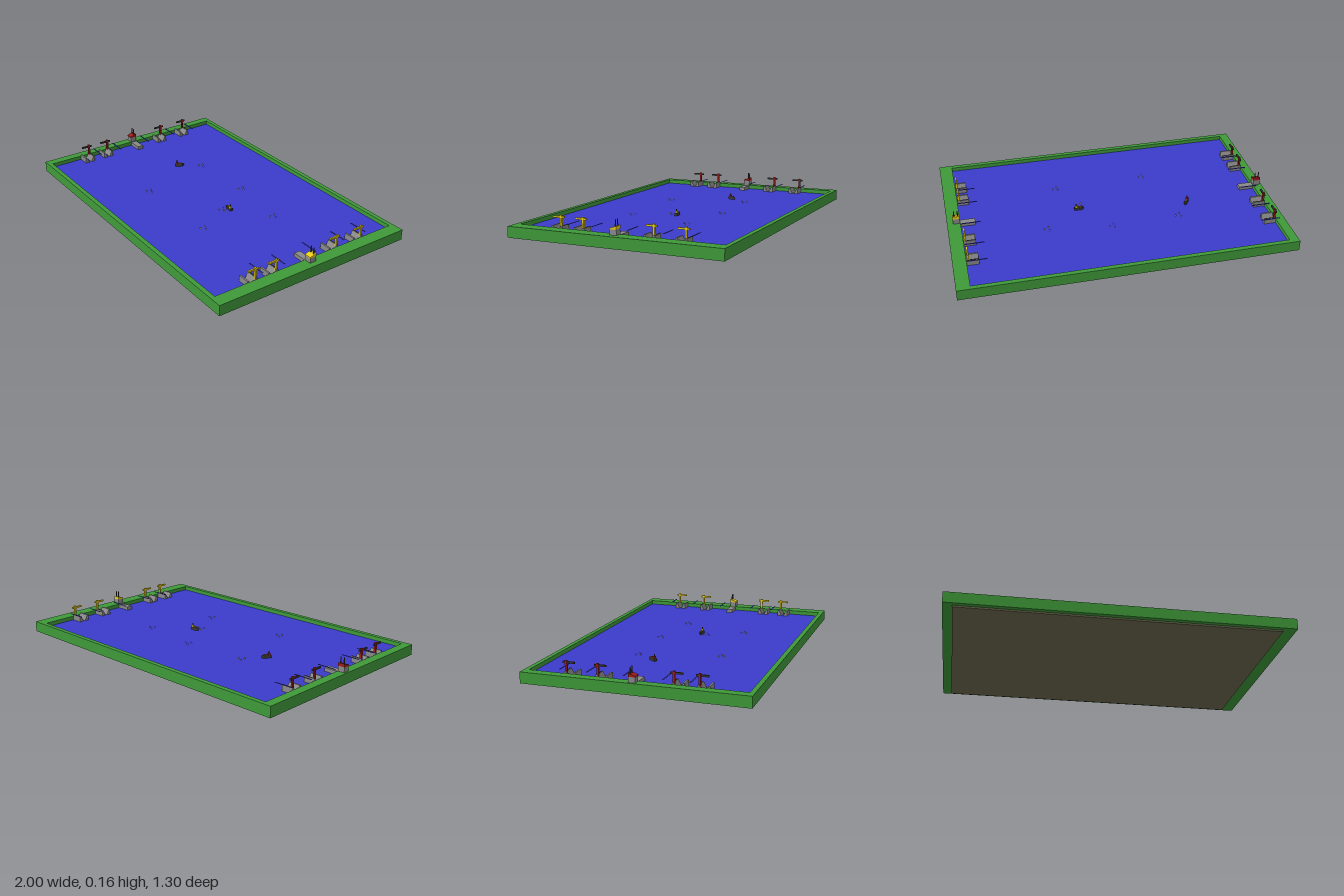
import * as THREE from 'three';

const mat = (color) => new THREE.MeshStandardMaterial({ color, flatShading: true, side: THREE.DoubleSide });
const M = {
  green: mat(0x3f9a3a), blue: mat(0x3c3ccc), brown: mat(0x6b6a50), grey: mat(0x8a8a8a),
  yellow: mat(0xe6cc1a), red: mat(0xa01c1c), dark: mat(0x3a3a36), white: mat(0xd8d8e0), wood: mat(0x7a5a30),
};

function add(parent, name, geometry, material, x = 0, y = 0, z = 0) {
  const mesh = new THREE.Mesh(geometry, material);
  mesh.name = name;
  mesh.position.set(x, y, z);
  parent.add(mesh);
  return mesh;
}

// box given by its minimum and maximum corners
function block(parent, name, material, [x0, y0, z0], [x1, y1, z1]) {
  return add(parent, name, new THREE.BoxGeometry(x1 - x0, y1 - y0, z1 - z0), material,
    (x0 + x1) / 2, (y0 + y1) / 2, (z0 + z1) / 2);
}

// profile in (z, y), extruded along x and centred on x = 0
function alongX(points, length) {
  const shape = new THREE.Shape(points.map(([z, y]) => new THREE.Vector2(-z, y)));
  const geometry = new THREE.ExtrudeGeometry(shape, { depth: length, bevelEnabled: false });
  return geometry.translate(0, 0, -length / 2).rotateY(Math.PI / 2);
}

// crane on a dock whose two quay walls slope down to the water
function harbour(side, z) {
  const g = new THREE.Group();
  g.name = 'harbour';
  const edge = side > 0 ? 0.92 : -0.945;
  const mid = edge - side * 0.036;
  for (const s of [-1, 1]) {
    const wall = [[0.006, 0.05], [0.024, 0.085], [0.034, 0.085], [0.034, 0.05]];
    add(g, 'quayWall', alongX(wall.map(([a, y]) => [a * s, y]), 0.072), M.grey, mid, 0, 0.025);
  }
  block(g, 'quayTrack', M.dark, [mid - 0.036, 0.085, -0.006], [mid + 0.036, 0.087, -0.002]);
  const paint = side > 0 ? M.yellow : M.red;
  const cx = edge - side * 0.01;
  block(g, 'craneMast', paint, [cx - 0.006, 0.05, -0.006], [cx + 0.006, 0.146, 0.006]);
  block(g, 'craneArm', side > 0 ? M.yellow : M.dark, [cx - 0.005, 0.13, -0.02], [cx + 0.005, 0.14, 0.05]);
  g.position.z = z;
  return g;
}

// factory with a sloping roof, two chimneys and a pier
function factory(side) {
  const g = new THREE.Group();
  g.name = 'factory';
  const edge = side > 0 ? 0.92 : -0.945;
  const x = edge + side * 0.023;
  const paint = side > 0 ? M.yellow : M.red;
  block(g, 'factoryWalls', M.grey, [x - 0.021, 0.07, -0.02], [x + 0.021, 0.107, 0.02]);
  add(g, 'factoryRoof', alongX([[0.022, 0.106], [0.022, 0.112], [-0.02, 0.126], [-0.02, 0.106]], 0.044), paint, x);
  for (const dx of [-0.011, 0.011])
    add(g, 'chimney', new THREE.CylinderGeometry(0.0025, 0.005, 0.05, 8), M.dark, x + dx, 0.135, -0.01);
  const px = edge - side * 0.045;
  block(g, 'pier', M.grey, [px - 0.045, 0.045, -0.02], [px + 0.045, 0.072, 0.02]);
  return g;
}

// small ship with pointed bow, cabin and funnel
function ship(x, z, turn, paint) {
  const g = new THREE.Group();
  g.name = 'ship';
  const deck = new THREE.Shape([[-0.028, -0.009], [0.014, -0.009], [0.03, 0], [0.014, 0.009], [-0.028, 0.009]]
    .map(([a, b]) => new THREE.Vector2(a, b)));
  const hull = new THREE.ExtrudeGeometry(deck, { depth: 0.016, bevelEnabled: false }).rotateX(-Math.PI / 2);
  add(g, 'hull', hull, M.dark, 0, 0.05, 0);
  block(g, 'cargo', M.wood, [-0.008, 0.066, -0.006], [0.014, 0.071, 0.006]);
  block(g, 'cabin', paint, [-0.024, 0.066, -0.007], [-0.01, 0.078, 0.007]);
  add(g, 'funnel', new THREE.CylinderGeometry(0.003, 0.003, 0.012, 8), M.dark, -0.017, 0.084, 0);
  g.position.set(x, 0, z);
  g.rotation.y = turn;
  return g;
}

export function createModel() {
  const root = new THREE.Group();
  root.name = 'harbourBoard';

  // raised rim, base and water
  const outer = new THREE.Shape([[-1, -0.65], [1, -0.65], [1, 0.65], [-1, 0.65]].map((p) => new THREE.Vector2(...p)));
  outer.holes.push(new THREE.Path([[-0.945, -0.622], [-0.945, 0.622], [0.92, 0.622], [0.92, -0.622]]
    .map((p) => new THREE.Vector2(...p))));
  const rim = new THREE.ExtrudeGeometry(outer, { depth: 0.065, bevelEnabled: false }).rotateX(-Math.PI / 2);
  add(root, 'rim', rim, M.green, 0, 0.01, 0);
  block(root, 'base', M.brown, [-0.945, 0, -0.622], [0.92, 0.03, 0.622]);
  block(root, 'water', M.blue, [-0.945, 0.03, -0.622], [0.92, 0.05, 0.622]);

  // both shores
  for (const side of [-1, 1]) {
    for (const z of [-0.4, -0.215, 0.215, 0.355]) root.add(harbour(side, z));
    root.add(factory(side));
    // thin floating strips beside the docks
    for (const z of [-0.43, -0.27, -0.06, 0.16, 0.31]) {
      const x = side > 0 ? 0.86 : -0.9;
      block(root, 'floatingStrip', M.blue, [x - 0.058, 0.097, z - 0.004], [x + 0.058, 0.099, z + 0.004]);
    }
  }

  root.add(ship(-0.48, -0.08, 1.0, M.red), ship(0.19, 0, Math.PI, M.yellow));

  // triangular clusters of small buoys
  for (const [x, z] of [[-0.39, -0.2], [0.03, -0.22], [0.42, -0.165], [0.18, 0.04], [-0.275, 0.275], [0.295, 0.255]])
    for (const [dx, dz] of [[-0.015, -0.015], [0.015, -0.002], [-0.013, 0.018]])
      add(root, 'buoy', new THREE.ConeGeometry(0.004, 0.012, 6), M.white, x + dx, 0.056, z + dz);

  return root;
}
